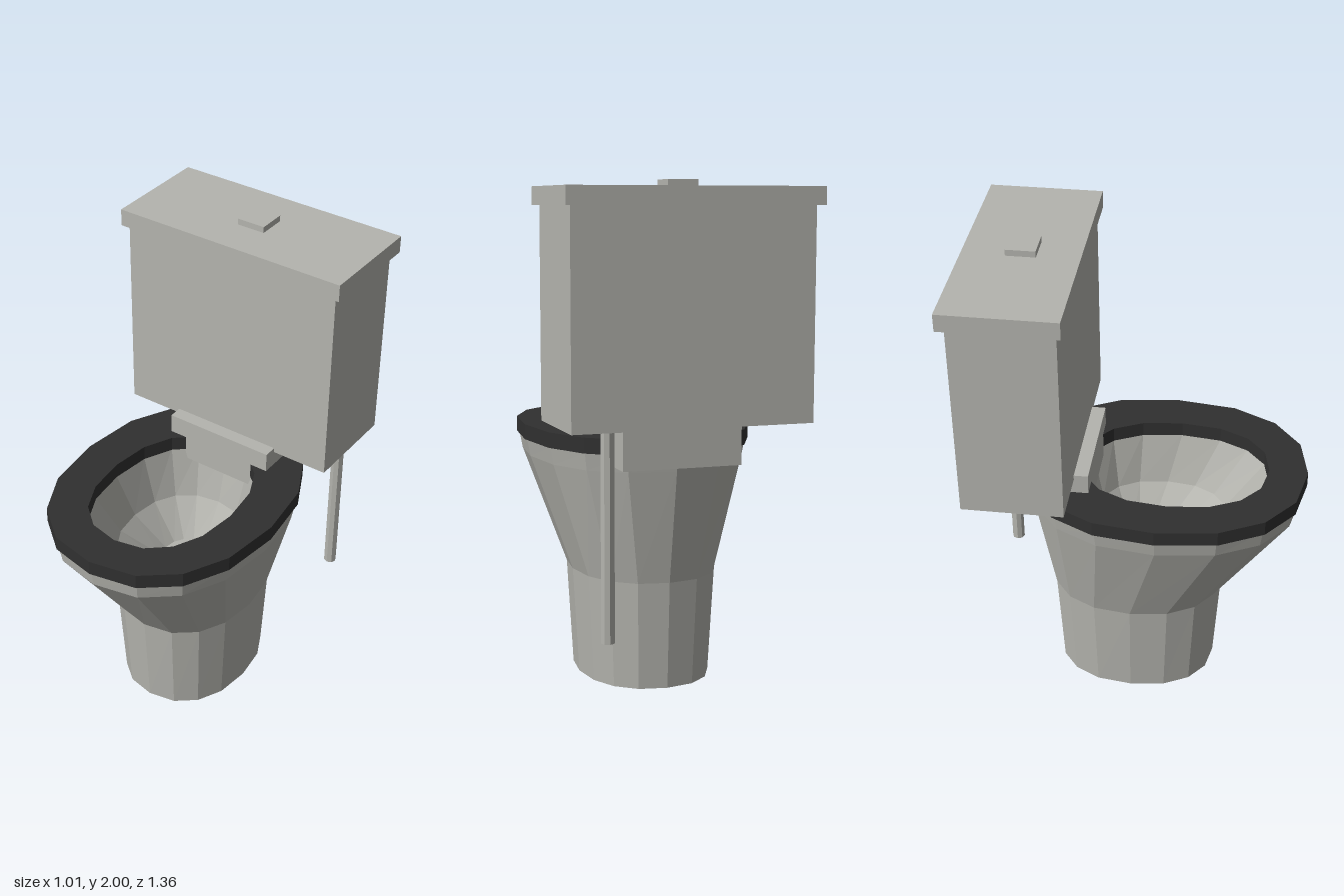
import * as THREE from 'three';

const SIDES = 16;

// Slightly squared oval: [y, x radius, z radius, z centre]
function ovalLoop([y, rx, rz, cz]) {
  const soft = (v) => Math.sign(v) * Math.pow(Math.abs(v) < 1e-9 ? 0 : Math.abs(v), 0.885);
  return Array.from({ length: SIDES }, (_, i) => {
    const a = (i / SIDES) * Math.PI * 2;
    return [rx * soft(Math.sin(a)), y, cz + rz * soft(Math.cos(a))];
  });
}

// Skin successive ovals; optionally close the first and last with flat caps
function loft(sections, capped) {
  const loops = sections.map(ovalLoop);
  const pos = [];
  const tri = (a, b, c) => pos.push(...a, ...b, ...c);
  for (let j = 0; j < loops.length - 1; j++) {
    for (let i = 0; i < SIDES; i++) {
      const k = (i + 1) % SIDES;
      tri(loops[j][i], loops[j][k], loops[j + 1][k]);
      tri(loops[j][i], loops[j + 1][k], loops[j + 1][i]);
    }
  }
  if (capped) {
    const first = loops[0], last = loops[loops.length - 1];
    const [y0, , , z0] = sections[0];
    const [y1, , , z1] = sections[sections.length - 1];
    for (let i = 0; i < SIDES; i++) {
      const k = (i + 1) % SIDES;
      tri([0, y0, z0], first[k], first[i]);
      tri([0, y1, z1], last[i], last[k]);
    }
  }
  const geo = new THREE.BufferGeometry();
  geo.setAttribute('position', new THREE.Float32BufferAttribute(pos, 3));
  geo.computeVertexNormals();
  return geo;
}

export function createModel() {
  const group = new THREE.Group();
  const ceramic = new THREE.MeshStandardMaterial({ color: 0xb4b4ae, flatShading: true });
  ceramic.name = 'grey ceramic';
  const black = new THREE.MeshStandardMaterial({ color: 0x303030, flatShading: true });
  black.name = 'black plastic';

  const add = (name, geo, mat) => {
    const mesh = new THREE.Mesh(geo, mat);
    mesh.name = name;
    group.add(mesh);
    return mesh;
  };
  // Box from its half width and its y and z limits
  const box = (name, halfX, y0, y1, z0, z1) =>
    add(name, new THREE.BoxGeometry(halfX * 2, y1 - y0, z1 - z0), ceramic)
      .position.set(0, (y0 + y1) / 2, (z0 + z1) / 2);

  // Pedestal and bowl: up the outside, over the rim, down the inside
  add('bowl', loft([
    [0, 0.265, 0.335, -0.02],
    [0.435, 0.29, 0.36, -0.018],
    [0.89, 0.432, 0.555, 0.1],
    [0.96, 0.445, 0.566, 0.1],
    [0.965, 0.29, 0.39, 0.135],
    [0.74, 0.24, 0.28, 0.08],
    [0.58, 0.12, 0.12, 0.025],
  ], true), ceramic);

  // Seat ring
  const outer = [0.455, 0.577, 0.1], inner = [0.285, 0.385, 0.135];
  add('seat', loft([
    [0.96, ...outer], [1.022, ...outer], [1.022, ...inner], [0.96, ...inner], [0.96, ...outer],
  ], false), black);

  // Block joining bowl and tank
  box('hingeBlock', 0.24, 0.915, 1.105, -0.52, -0.188);

  // Tank, lid and flush button
  box('tank', 0.48, 1.085, 1.905, -0.65, -0.245);
  box('tankLid', 0.505, 1.905, 1.975, -0.68, -0.225);
  box('flushButton', 0.06, 1.975, 2, -0.51, -0.393);

  // Water supply pipe
  add('supplyPipe', new THREE.CylinderGeometry(0.027, 0.027, 0.8, 8), ceramic)
    .position.set(0.333, 0.69, -0.617);

  return group;
}
